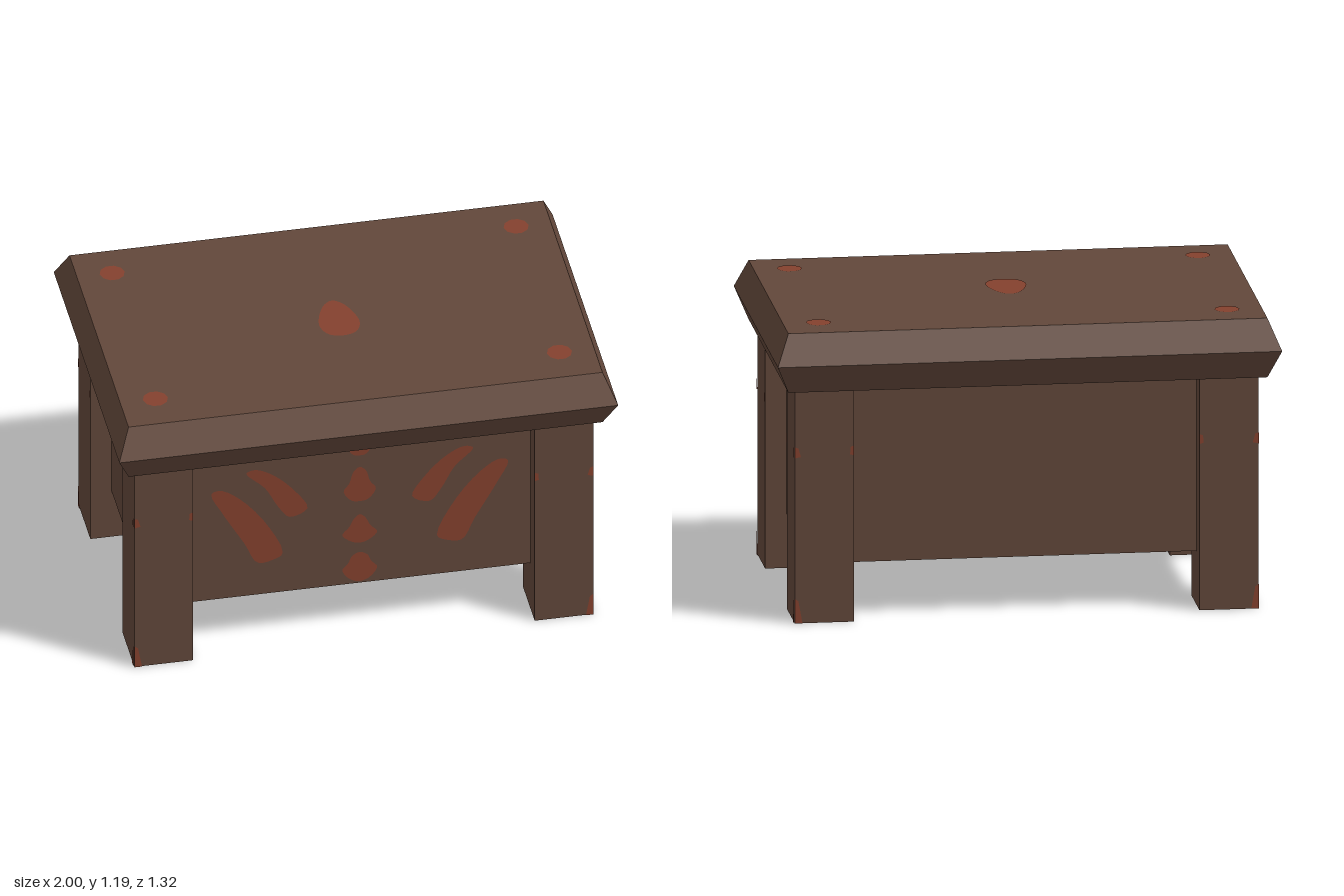
import * as THREE from 'three';

const wood = new THREE.MeshStandardMaterial({ color: 0x62473a, side: THREE.DoubleSide });
wood.name = 'dark wood';
const paint = new THREE.MeshStandardMaterial({ color: 0x84412e });
paint.name = 'rust paint';

const LEG = { w: 0.235, h: 0.96, x: 0.8025, z: 0.4425 };
const BODY = { x: 0.835, z: 0.475, y0: 0.22, y1: 0.96 };
const LIFT = 0.003;

function add(parent, name, geometry, material) {
  const mesh = new THREE.Mesh(geometry, material);
  mesh.name = name;
  parent.add(mesh);
  return mesh;
}

// Flat painted patch; smooth outlines pass a closed spline through the points
function patch(points, smooth = true) {
  let outline = points.map(([x, y]) => new THREE.Vector3(x, y, 0));
  if (smooth) outline = new THREE.CatmullRomCurve3(outline, true).getPoints(32).slice(0, -1);
  return new THREE.ShapeGeometry(new THREE.Shape(outline.map(p => new THREE.Vector2(p.x, p.y))));
}

const mirrorX = points => points.map(([x, y]) => [-x, y]);
// Full outline from its right half, listed from top to bottom
const symmetric = half => [...half, ...mirrorX(half).reverse().filter(([x]) => x !== 0)];

export function createModel() {
  const model = new THREE.Group();
  model.name = 'chest';

  // Body between the legs
  const body = new THREE.BoxGeometry(BODY.x * 2, BODY.y1 - BODY.y0, BODY.z * 2);
  body.translate(0, (BODY.y0 + BODY.y1) / 2, 0);
  add(model, 'body', body, wood);

  // Lid: a box whose top and bottom rims are drawn inwards
  let lid = new THREE.BoxGeometry(2, 0.24, 1.32, 1, 2, 1);
  const pos = lid.attributes.position;
  for (let i = 0; i < pos.count; i++) {
    if (Math.abs(pos.getY(i)) > 0.01) {
      pos.setX(i, pos.getX(i) * 0.95);
      pos.setZ(i, pos.getZ(i) * 0.9);
    }
  }
  lid = lid.toNonIndexed();
  lid.computeVertexNormals();
  add(model, 'lid', lid, wood).position.y = 1.065;

  // Hollow legs, open at the foot
  const legGeo = new THREE.BoxGeometry(LEG.w, LEG.h, LEG.w);
  const index = Array.from(legGeo.index.array);
  legGeo.setIndex([...index.slice(0, 18), ...index.slice(24)]);
  legGeo.clearGroups();

  // Marks on the leg faces, drawn for a face whose outer corner is at +x
  const e = LEG.w / 2;
  const marks = [
    ['footMark', patch([[e, 0], [e, 0.1], [e - 0.014, 0.09], [e - 0.03, 0]], false)],
    ['outerDot', patch([[e, 0.67], [e, 0.715], [e - 0.014, 0.71], [e - 0.024, 0.675]], false)],
    ['innerDot', patch([[-e, 0.675], [-e + 0.016, 0.68], [-e + 0.014, 0.71], [-e, 0.715]], false)],
  ];

  for (const sx of [-1, 1]) {
    for (const sz of [-1, 1]) {
      const leg = new THREE.Group();
      leg.name = (sz > 0 ? 'front' : 'back') + (sx > 0 ? 'Left' : 'Right') + 'Leg';
      leg.position.set(sx * LEG.x, 0, sz * LEG.z);
      model.add(leg);
      add(leg, 'post', legGeo, wood).position.y = LEG.h / 2;

      for (const [name, geo] of marks) {
        // Mirror the mark where the outer corner is on the face's other edge
        const flipped = geo.clone().scale(-1, 1, 1);
        flipped.setIndex(Array.from(flipped.index.array).reverse());
        const end = add(leg, name, sx * sz > 0 ? geo : flipped, paint);
        end.rotation.y = sz > 0 ? 0 : Math.PI;
        end.position.z = sz * (e + LIFT);
        const side = add(leg, name, sx * sz > 0 ? flipped : geo, paint);
        side.rotation.y = sx * Math.PI / 2;
        side.position.x = sx * (e + LIFT);
      }
    }
  }

  // Painted wings and central drops on the front panel
  const lowerWing = [[0.595, 0.73], [0.56, 0.742], [0.48, 0.69], [0.37, 0.55], [0.31, 0.405],
    [0.35, 0.38], [0.41, 0.375], [0.46, 0.47], [0.55, 0.63]];
  const upperWing = [[0.455, 0.81], [0.42, 0.823], [0.35, 0.79], [0.26, 0.7], [0.21, 0.61],
    [0.28, 0.578], [0.325, 0.63], [0.38, 0.73]];
  const drops = [
    [[0, 0.9], [0.035, 0.892], [0.043, 0.865], [0.02, 0.838], [0, 0.836]],
    [[0, 0.78], [0.025, 0.76], [0.042, 0.705], [0.065, 0.67], [0.035, 0.623], [0, 0.615]],
    [[0, 0.552], [0.022, 0.535], [0.042, 0.495], [0.07, 0.46], [0.035, 0.425], [0, 0.415]],
    [[0, 0.37], [0.03, 0.355], [0.047, 0.32], [0.07, 0.29], [0.038, 0.243], [0, 0.23]],
  ];
  const painted = new THREE.Group();
  painted.name = 'frontPainting';
  painted.position.z = BODY.z + LIFT;
  model.add(painted);
  for (const [name, wing] of [['lowerWing', lowerWing], ['upperWing', upperWing]]) {
    add(painted, name + 'Left', patch(wing), paint);
    add(painted, name + 'Right', patch(mirrorX(wing)), paint);
  }
  drops.forEach(half => add(painted, 'centreDrop', patch(symmetric(half)), paint));

  // Painted drop and corner dots on the lid
  const top = new THREE.Group();
  top.name = 'lidPainting';
  top.position.y = 1.185 + LIFT;
  top.rotation.x = -Math.PI / 2;
  model.add(top);
  const drop = [[0, 0.088], [0.035, 0.065], [0.07, -0.01], [0.08, -0.08], [0.055, -0.135], [0, -0.153]];
  add(top, 'lidDrop', patch(symmetric(drop)), paint);
  for (const x of [-0.81, 0.81]) {
    for (const y of [-0.43, 0.44]) {
      add(top, 'cornerDot', new THREE.CircleGeometry(0.05, 10), paint).position.set(x, y, 0);
    }
  }
  return model;
}
